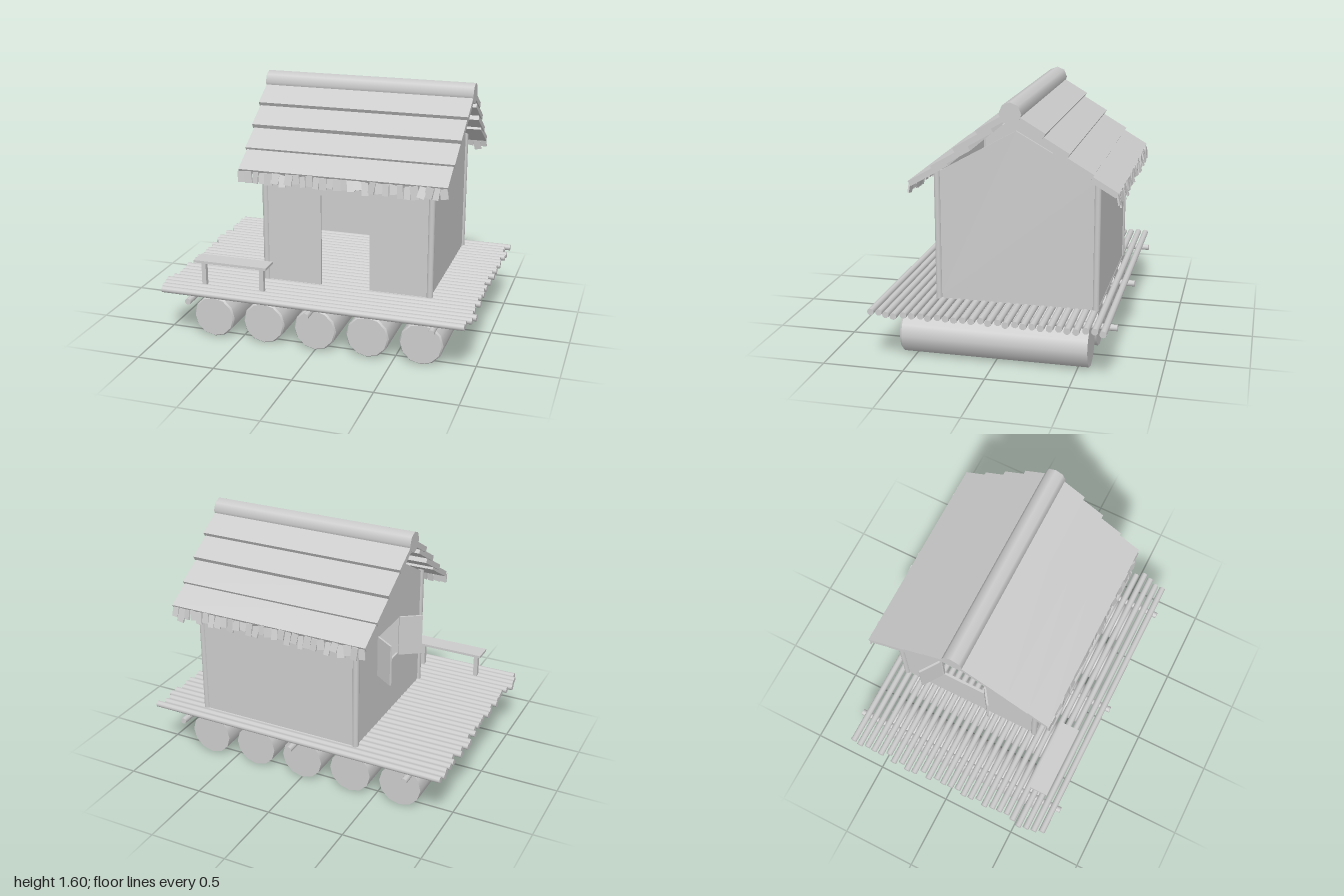
import * as THREE from 'three';

const grey = new THREE.MeshStandardMaterial({ color: 0xcccccc });

// Seeded random in -1..1
let seed = 11;
const rand = () => {
  seed = (seed * 16807) % 2147483647;
  return (seed / 2147483647) * 2 - 1;
};

function add(parent, name, geometry, x = 0, y = 0, z = 0) {
  const mesh = new THREE.Mesh(geometry, grey);
  mesh.name = name;
  mesh.position.set(x, y, z);
  parent.add(mesh);
  return mesh;
}

function group(parent, name, x = 0, y = 0, z = 0) {
  const g = new THREE.Group();
  g.name = name;
  g.position.set(x, y, z);
  parent.add(g);
  return g;
}

const box = (w, h, d) => new THREE.BoxGeometry(w, h, d);
const logX = (r, length, sides = 10) => new THREE.CylinderGeometry(r, r, length, sides).rotateZ(Math.PI / 2);
const logZ = (r, length, sides = 10, rFront = r) =>
  new THREE.CylinderGeometry(rFront, r, length, sides).rotateX(Math.PI / 2);

// Flat wall from an outline, with an optional rectangular opening [left, right, bottom, top]
function wall(points, opening, thickness) {
  const shape = new THREE.Shape(points.map(([u, v]) => new THREE.Vector2(u, v)));
  if (opening) {
    const [l, r, b, t] = opening;
    shape.holes.push(new THREE.Path([[l, b], [l, t], [r, t], [r, b]].map(([u, v]) => new THREE.Vector2(u, v))));
  }
  return new THREE.ExtrudeGeometry(shape, { depth: thickness, bevelEnabled: false }).translate(0, 0, -thickness / 2);
}

export function createModel() {
  const model = new THREE.Group();
  model.name = 'raftHouse';

  // Floats: thick logs with a slightly chamfered front end
  const floats = group(model, 'floats');
  for (let i = -2; i <= 2; i++) {
    add(floats, 'floatLog', logZ(0.1365, 1.14, 12), i * 0.337, 0.1365, 0);
    add(floats, 'floatChamfer', logZ(0.1365, 0.012, 12, 0.128), i * 0.337, 0.1365, 0.576);
  }

  // Cross beams and deck poles of uneven length
  const deck = group(model, 'deck');
  for (const x of [-0.77, 0, 0.77]) add(deck, 'crossBeam', logZ(0.02, 1.49), x, 0.296, 0.005);
  for (let i = 0; i < 28; i++) {
    add(deck, 'deckPole', logX(0.0205, 1.95 + rand() * 0.03), rand() * 0.012, 0.34, 0.705 - i * 0.0516);
  }
  add(deck, 'deckPoleLong', logX(0.0205, 2), 0, 0.34, 0.705 - 3 * 0.0516);

  // House shell
  const L = -0.385, R = 0.67, F = 0.365, B = -0.595, floor = 0.355, eave = 1.14;
  const midX = (L + R) / 2, midZ = -0.113;
  const house = group(model, 'house');
  const outline = [[L, floor], [R, floor], [R, eave], [L, eave]];
  // The doorway is a notch in the bottom edge of the front wall
  const frontOutline = [[L, floor], [-0.025, floor], [-0.025, 0.945], [0.29, 0.945], [0.29, floor],
    [R, floor], [R, eave], [L, eave]];
  add(house, 'frontWall', wall(frontOutline, null, 0.016), 0, 0, F);
  add(house, 'backWall', wall(outline, null, 0.016), 0, 0, B);

  // Gable walls; local u runs along -z after the turn
  const gable = [[-F, floor], [-B, floor], [-B, eave], [-midZ, 1.41], [-F, eave]];
  add(house, 'leftWall', wall(gable, null, 0.016), R, 0, 0).rotation.y = Math.PI / 2;
  add(house, 'rightWall', wall(gable, [-0.01, 0.29, 0.71, 0.96], 0.016), L, 0, 0).rotation.y = Math.PI / 2;

  // Corner posts
  for (const x of [L - 0.003, R + 0.003]) {
    for (const z of [F, B]) add(house, 'cornerPost', new THREE.CylinderGeometry(0.02, 0.02, 0.81, 10), x, 0.76, z);
  }

  // Shutters swung outward on both sides of the window
  for (const [z, angle] of [[0.01, -0.96], [-0.3, 0.96 - Math.PI]]) {
    const hinge = group(house, 'shutter', L - 0.01, 0.833, z);
    hinge.rotation.y = angle;
    add(hinge, 'shutterPanel', box(0.012, 0.265, 0.15), 0, 0, 0.075);
  }

  // Roof: two mirrored slopes of overlapping planks, each with a ragged fringe
  const roof = group(model, 'roof', midX, 0, midZ);
  const pitch = 0.53;
  // distance from ridge, height of the lower edge, width, length
  const planks = [[0.61, 1.093, 1.305, 0.265], [0.47, 1.193, 1.32, 0.26], [0.333, 1.307, 1.335, 0.26], [0.195, 1.417, 1.35, 0.22]];
  for (const turn of [0, Math.PI]) {
    const slope = group(roof, 'roofSlope');
    slope.rotation.y = turn;
    for (const [z, y, width, length] of planks) {
      const plank = add(slope, 'roofPlank', box(width, 0.034, length), 0,
        y + (Math.sin(pitch) * length) / 2, z - (Math.cos(pitch) * length) / 2);
      plank.rotation.x = pitch;
    }
    for (let i = 0; i < 30; i++) {
      const h = 0.072 + rand() * 0.016;
      const strip = add(slope, 'fringeStrip', box(0.043 + rand() * 0.008, h, 0.01),
        -0.63 + (i * 1.26) / 29, 1.1 - h / 2 + rand() * 0.004, 0.617 + rand() * 0.006);
      strip.rotation.set(-0.22 + rand() * 0.15, rand() * 0.25, rand() * 0.22);
    }
  }
  add(roof, 'ridgeLog', logX(0.066, 1.355, 8), 0, 1.535, 0);

  // Bench on the porch
  const bench = group(model, 'bench', -0.53, 0, 0.583);
  add(bench, 'benchSeat', box(0.48, 0.016, 0.12), 0, 0.525, 0);
  for (const x of [-0.195, 0.19]) add(bench, 'benchLeg', box(0.028, 0.165, 0.03), x, 0.437, 0);

  return model;
}
